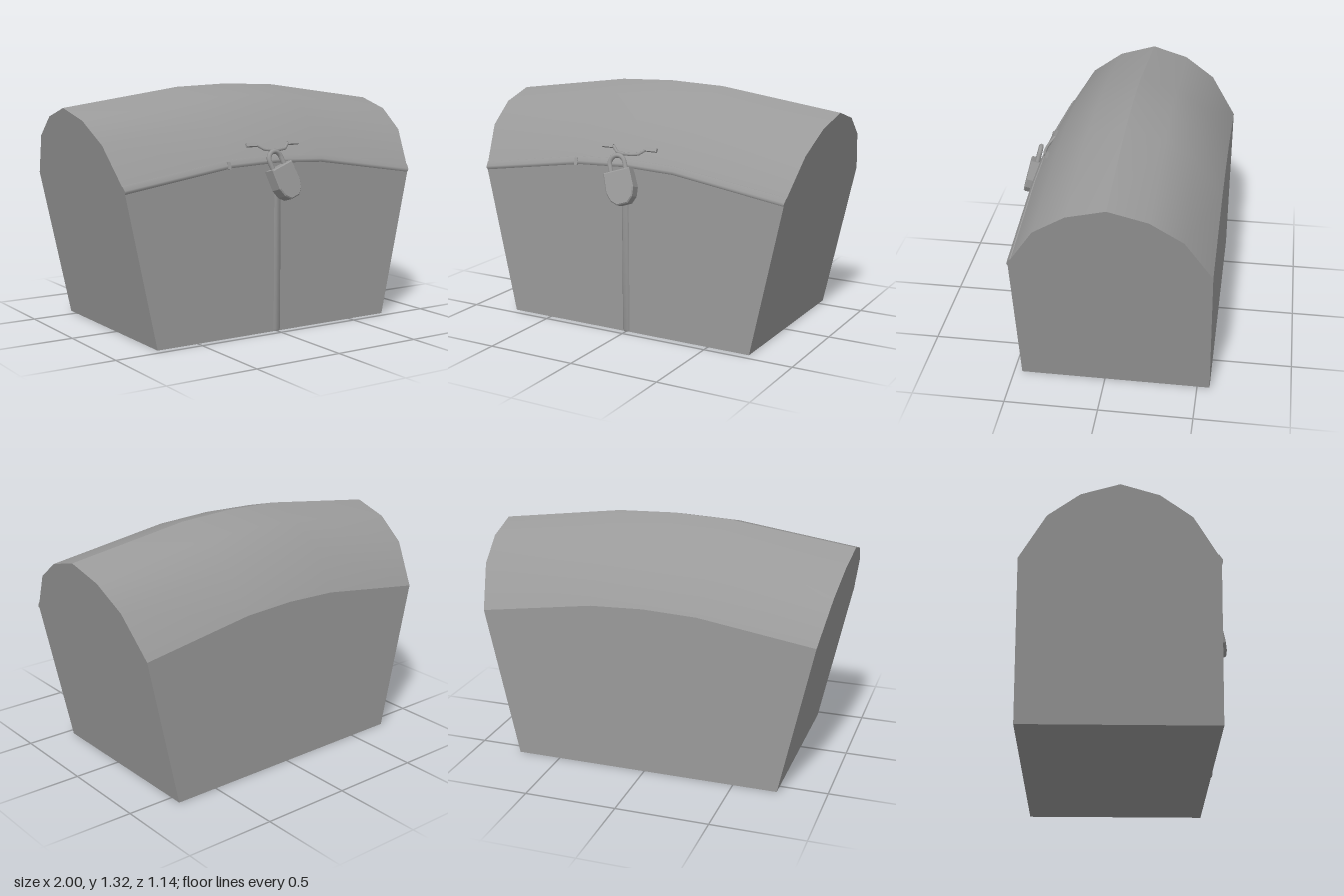
import * as THREE from 'three';
import { toCreasedNormals } from 'three/addons/utils/BufferGeometryUtils.js';

const material = new THREE.MeshStandardMaterial({ color: 0x9a9a9a });

function add(parent, name, geometry) {
  const mesh = new THREE.Mesh(geometry, material);
  mesh.name = name;
  parent.add(mesh);
  return mesh;
}

// Capped loft of equal-length closed sections, ordered along +x;
// each section runs front, up, over and down the back.
function loft(sections, crease) {
  const n = sections[0].length, last = (sections.length - 1) * n, index = [];
  for (let i = 0; i < sections.length - 1; i++) {
    for (let j = 0; j < n; j++) {
      const a = i * n + j, b = i * n + (j + 1) % n;
      index.push(a, a + n, b, b, a + n, b + n);
    }
  }
  for (let j = 1; j < n - 1; j++) {
    index.push(0, j, j + 1, last, last + j + 1, last + j);
  }
  const geometry = new THREE.BufferGeometry();
  geometry.setAttribute('position', new THREE.Float32BufferAttribute(sections.flat(2), 3));
  geometry.setIndex(index);
  return toCreasedNormals(geometry, crease);
}

// Sloping ends: half width grows with height
const halfWidth = y => 0.74 + 0.215 * y;
// Lengthwise stations and how far the lid arches up at each
const stations = [[-1, 0], [-0.31, 0.094], [0, 0.106], [0.31, 0.094], [1, 0]];

// Section points [z, y] at a station; points above the base follow the arch
const sectionsOf = profile => stations.map(([u, rise]) => profile.map(([z, y]) => {
  const h = y > 0 ? y + rise : 0;
  return [u * halfWidth(h), h, z];
}));

export function createModel() {
  const chest = new THREE.Group();
  chest.name = 'chest';

  // Chest body with faceted arched lid
  add(chest, 'chestBody', loft(sectionsOf([
    [0.457, 0], [0.457, 0.825], [0.315, 1.045], [0.147, 1.158], [-0.055, 1.214],
    [-0.257, 1.158], [-0.425, 1.045], [-0.567, 0.825], [-0.567, 0],
  ]), 0.47));

  // Soft lip where the lid meets the body, undercut below
  add(chest, 'lidLip', loft(sectionsOf([
    [0.455, 0.808], [0.463, 0.819], [0.461, 0.829], [0.444, 0.852], [0.43, 0.852], [0.43, 0.808],
  ]), 0.9));

  // Small catch on the lip
  const catchTab = add(chest, 'lipCatch', new THREE.BoxGeometry(0.018, 0.04, 0.02));
  catchTab.position.set(-0.308, 0.917, 0.453);
  catchTab.rotation.x = -0.25;

  // Softly rounded vertical strip down the middle of the front
  const strip = [[-0.022, 0.456], [-0.012, 0.465], [0.012, 0.465], [0.022, 0.456]];
  add(chest, 'frontStrip', loft(strip.map(([x, z]) => [
    [x, 0, 0.45], [x, 0, z - 0.004], [x, 0.012, z], [x, 0.9, z], [x, 0.9, 0.45],
  ]), 0.9));

  // Bent hasp bar lying on the lid
  const bar = new THREE.CurvePath();
  const barPoints = [
    [-0.17, 1.012, 0.405], [-0.1, 1.012, 0.405], [-0.065, 0.988, 0.43], [-0.025, 0.984, 0.437],
    [0.025, 0.984, 0.437], [0.065, 0.988, 0.43], [0.1, 1.012, 0.405], [0.165, 1.012, 0.405],
  ].map(p => new THREE.Vector3(...p));
  for (let i = 1; i < barPoints.length; i++) bar.add(new THREE.LineCurve3(barPoints[i - 1], barPoints[i]));
  add(chest, 'haspBar', new THREE.TubeGeometry(bar, 36, 0.009, 6));
  for (const x of [-0.135, 0.133]) {
    const plate = add(chest, 'haspEnd', new THREE.BoxGeometry(0.068, 0.02, 0.02));
    plate.position.set(x, 1.012, 0.406);
    plate.rotation.x = -0.58;
  }

  // Hanging padlock, origin at the top of its body
  const padlock = new THREE.Group();
  padlock.name = 'padlock';
  padlock.position.set(-0.018, 0.897, 0.492);
  padlock.rotation.set(-0.27, 0.1, 0.34);
  chest.add(padlock);

  const outline = new THREE.Shape([
    [-0.07, 0], [-0.074, -0.1], [-0.058, -0.145], [-0.028, -0.172],
    [0.028, -0.172], [0.058, -0.145], [0.074, -0.1], [0.07, 0],
  ].map(p => new THREE.Vector2(...p)));
  const lockBody = new THREE.ExtrudeGeometry(outline, {
    depth: 0.06, bevelThickness: 0.006, bevelSize: 0.006, bevelSegments: 1,
  });
  lockBody.translate(0, 0, -0.03);
  add(padlock, 'lockBody', lockBody);

  // Shackle: half ring on two legs
  const ring = add(padlock, 'shackleBow', new THREE.TorusGeometry(0.043, 0.013, 8, 12, Math.PI));
  ring.position.y = 0.045;
  for (const x of [-0.043, 0.043]) {
    add(padlock, 'shackleLeg', new THREE.CylinderGeometry(0.013, 0.013, 0.055, 8))
      .position.set(x, 0.0175, 0);
  }

  return chest;
}
